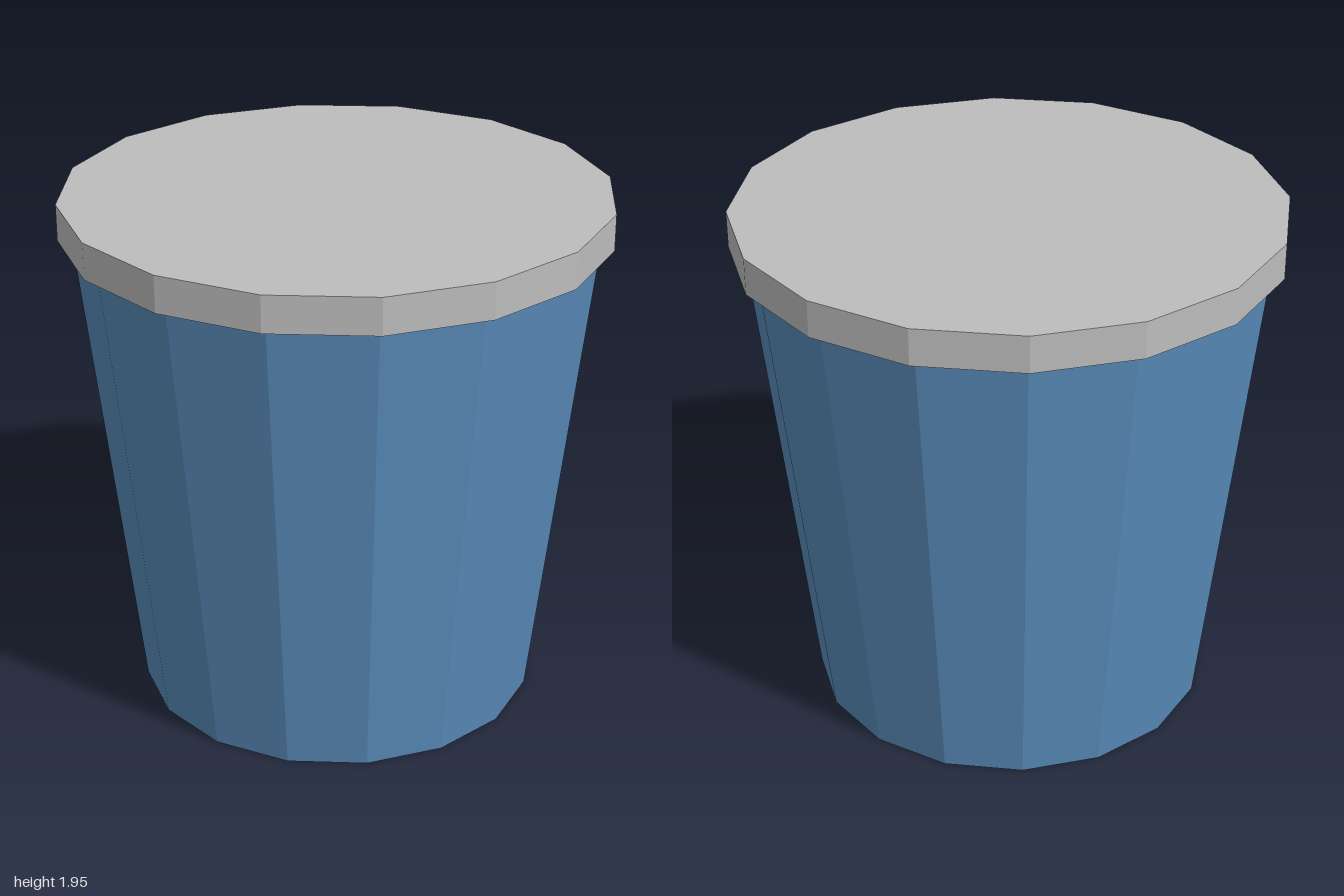
import * as THREE from 'three';

const SIDES = 16;

export function createModel() {
  const model = new THREE.Group();
  model.name = 'liddedCup';

  const blue = new THREE.MeshStandardMaterial({ name: 'blue', color: 0x5a8cbb, flatShading: true });
  const grey = new THREE.MeshStandardMaterial({ name: 'light grey', color: 0xbdbdbd, flatShading: true });

  // Faceted, closed cylinder standing between two heights
  function addDrum(name, bottomRadius, topRadius, y0, y1, material) {
    const geometry = new THREE.CylinderGeometry(topRadius, bottomRadius, y1 - y0, SIDES);
    const mesh = new THREE.Mesh(geometry, material);
    mesh.name = name;
    mesh.position.y = (y0 + y1) / 2;
    model.add(mesh);
  }

  // Tapered body
  addDrum('body', 0.745, 0.95, 0, 1.81, blue);
  // Flat overhanging lid
  addDrum('lid', 1, 1, 1.81, 1.945, grey);

  return model;
}
